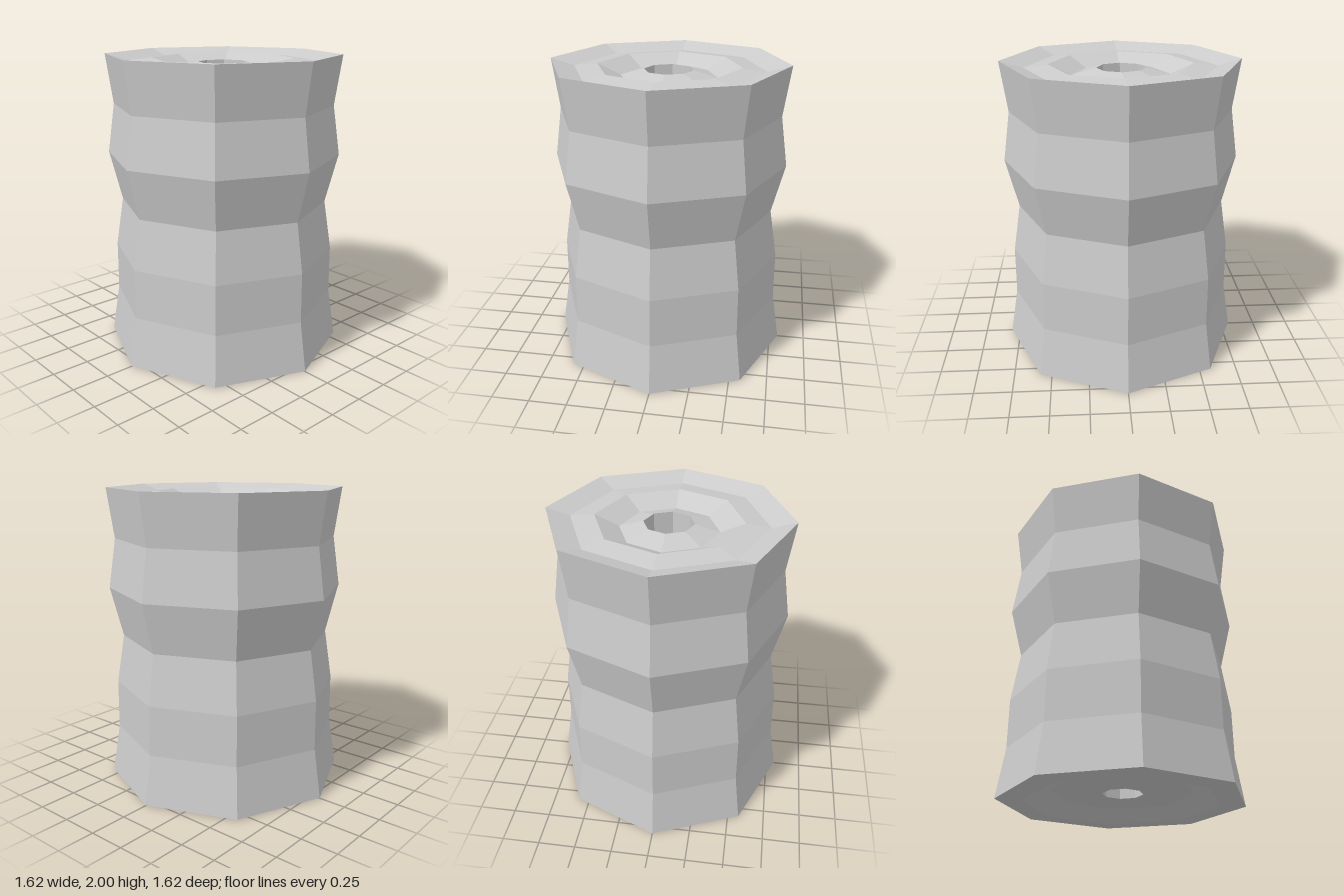
import * as THREE from 'three';

// Eight-sided surface of revolution from [radius, height] pairs
function ring(name, pairs, material) {
  const points = pairs.map(([r, y]) => new THREE.Vector2(r, y));
  const mesh = new THREE.Mesh(new THREE.LatheGeometry(points, 8), material);
  mesh.name = name;
  return mesh;
}

export function createModel() {
  const group = new THREE.Group();
  group.name = 'hollowRoll';
  const material = new THREE.MeshStandardMaterial({ color: 0xcccccc, flatShading: true });

  // Underside with a stepped recess, from the hole outward
  const bottom = [[0.133, 0.06], [0.30, 0.06], [0.47, 0.07], [0.64, 0], [0.812, 0.003]];

  // Uneven outer wall in six bands, upward
  const side = [0.812, 0.76, 0.758, 0.706, 0.79, 0.742, 0.79]
    .map((r, i) => [r, i === 0 ? 0.003 : i / 3]);

  // Rippled top, from the rim inward
  const top = [[0.79, 2], [0.633, 1.955], [0.476, 1.975], [0.32, 1.905], [0.163, 1.95]];

  // Tapering wall of the central hole, downward
  const hole = [[0.163, 1.95], [0.133, 0.06]];

  group.add(
    ring('underside', bottom, material),
    ring('outerWall', side, material),
    ring('topFace', top, material),
    ring('holeWall', hole, material),
  );
  return group;
}
